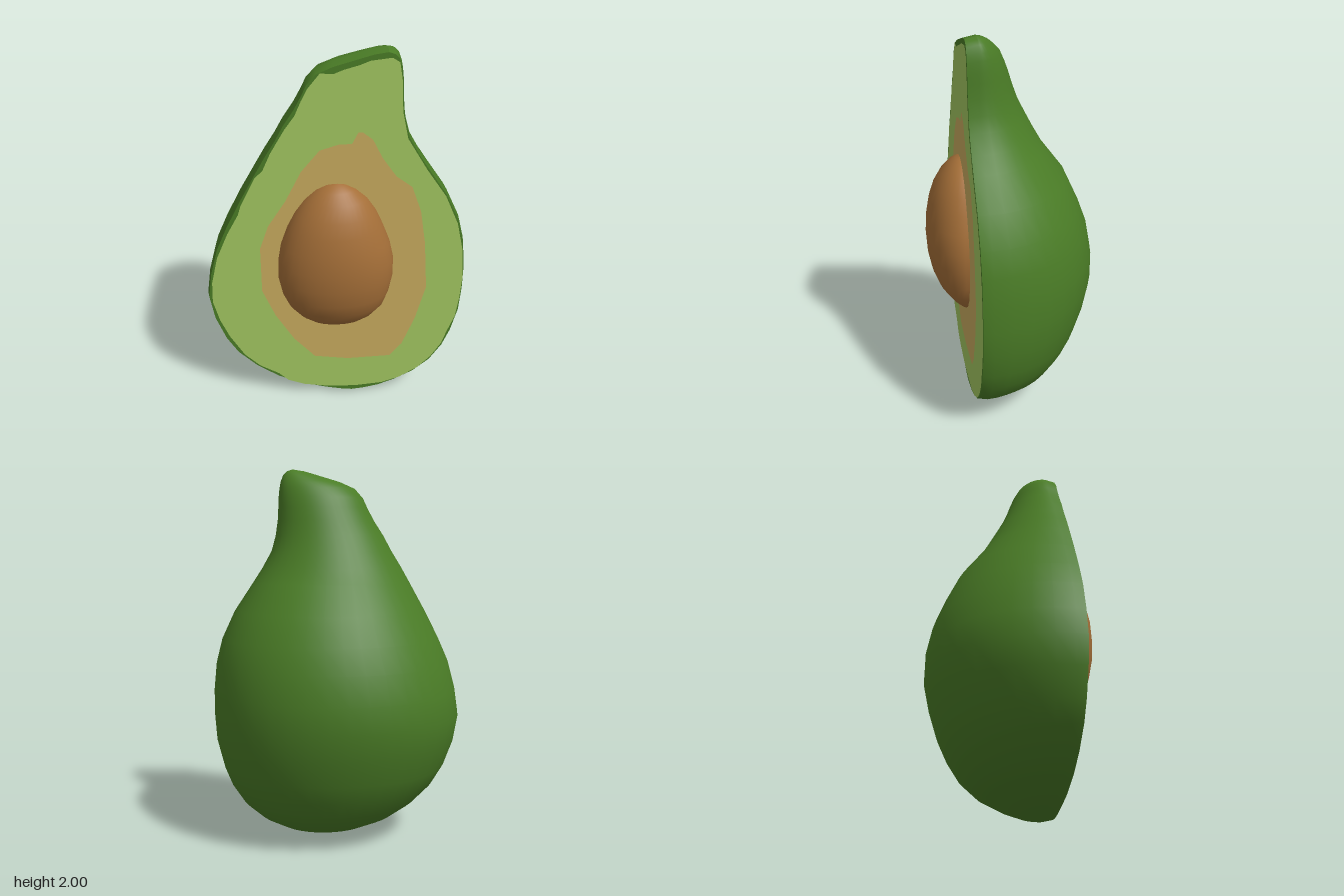
import * as THREE from 'three';

const mat = (name, color) => {
  const m = new THREE.MeshStandardMaterial({ color });
  m.name = name;
  return m;
};

// Skin sections: [y, left x, right x, back z]
const SKIN = [
  [2.0, 0.235, 0.235, 0.19], [1.99, 0.17, 0.265, 0.155], [1.97, 0.1, 0.285, 0.125],
  [1.935, -0.02, 0.298, 0.09], [1.9, -0.1, 0.305, 0.06], [1.85, -0.145, 0.31, 0.037],
  [1.8, -0.168, 0.312, 0.018], [1.73, -0.205, 0.316, -0.005], [1.65, -0.257, 0.328, -0.035],
  [1.57, -0.3, 0.35, -0.075], [1.48, -0.355, 0.4, -0.122], [1.4, -0.4, 0.452, -0.168],
  [1.25, -0.482, 0.552, -0.282], [1.1, -0.558, 0.622, -0.352], [0.97, -0.615, 0.655, -0.402],
  [0.82, -0.655, 0.67, -0.433], [0.68, -0.675, 0.67, -0.436], [0.54, -0.652, 0.66, -0.405],
  [0.4, -0.6, 0.625, -0.36], [0.3, -0.54, 0.585, -0.312], [0.2, -0.44, 0.52, -0.245],
  [0.12, -0.325, 0.43, -0.155], [0.06, -0.19, 0.32, -0.04], [0.025, -0.06, 0.23, 0.06],
  [0.008, 0.02, 0.15, 0.135], [0, 0.085, 0.085, 0.19],
];

// Stone sections: [y, left x, right x, front z]
const STONE = [
  [1.333, 0, 0, 0.235], [1.325, -0.055, 0.045, 0.27], [1.3, -0.105, 0.092, 0.308],
  [1.25, -0.16, 0.148, 0.35], [1.18, -0.21, 0.195, 0.388], [1.1, -0.25, 0.23, 0.413],
  [1.0, -0.285, 0.268, 0.431], [0.9, -0.302, 0.29, 0.436], [0.8, -0.305, 0.29, 0.43],
  [0.7, -0.285, 0.272, 0.41], [0.62, -0.25, 0.245, 0.378], [0.55, -0.192, 0.19, 0.33],
  [0.51, -0.135, 0.135, 0.295], [0.485, -0.075, 0.065, 0.26], [0.475, -0.02, -0.02, 0.235],
];

const FLESH = [
  [-0.08, 1.895], [-0.14, 1.82], [-0.17, 1.76], [-0.2, 1.69], [-0.25, 1.62], [-0.32, 1.5],
  [-0.36, 1.41], [-0.4, 1.37], [-0.475, 1.22], [-0.49, 1.17], [-0.55, 1.06], [-0.61, 0.92],
  [-0.645, 0.77], [-0.65, 0.65], [-0.62, 0.53], [-0.575, 0.42], [-0.5, 0.29], [-0.42, 0.21],
  [-0.32, 0.15], [-0.27, 0.1], [-0.18, 0.065], [-0.05, 0.045], [0.1, 0.04], [0.25, 0.055],
  [0.35, 0.09], [0.45, 0.155], [0.52, 0.23], [0.575, 0.32], [0.6, 0.4], [0.637, 0.5],
  [0.653, 0.62], [0.66, 0.75], [0.648, 0.92], [0.612, 1.08], [0.542, 1.24], [0.44, 1.39],
  [0.338, 1.56], [0.308, 1.7], [0.3, 1.85], [0.285, 1.94], [0.25, 1.962], [0.15, 1.95],
  [0.1, 1.93], [0.03, 1.91], [-0.02, 1.89],
];

const CORE = [
  [0.12, 1.6], [0.17, 1.56], [0.22, 1.46], [0.29, 1.36], [0.37, 1.3], [0.42, 1.16],
  [0.45, 0.97], [0.47, 0.7], [0.42, 0.5], [0.355, 0.33], [0.29, 0.25], [0.06, 0.24],
  [-0.12, 0.265], [-0.23, 0.39], [-0.325, 0.55], [-0.39, 0.71], [-0.39, 0.97],
  [-0.345, 1.1], [-0.255, 1.24], [-0.175, 1.4], [-0.085, 1.51], [0.01, 1.54],
  [0.07, 1.54], [0.1, 1.6],
];

const CUT_Z = 0.245;
// The cut edge is drawn in slightly from the widest outline
const rim = (x, y) => [0.02 + (x - 0.02) * 0.987, 1 + (y - 1) * 0.988];

// Half-elliptical arc of one section, running from left x to right x
function arc([y, x0, x1, z], zc, steps) {
  const pts = [];
  for (let j = 0; j <= steps; j++) {
    const a = (j / steps) * Math.PI;
    pts.push([(x0 + x1) / 2 - (Math.cos(a) * (x1 - x0)) / 2, y, zc + (z - zc) * Math.sin(a)]);
  }
  return pts;
}

// Smooth surface through rows of points; flip for rows that bulge forward
function loft(rows, flip) {
  const n = rows[0].length, index = [];
  for (let i = 0; i < rows.length - 1; i++) {
    for (let j = 0; j < n - 1; j++) {
      const a = i * n + j, b = a + 1, c = a + n, d = c + 1;
      if (flip) index.push(a, c, b, b, c, d);
      else index.push(a, b, c, b, d, c);
    }
  }
  const g = new THREE.BufferGeometry();
  g.setAttribute('position', new THREE.Float32BufferAttribute(rows.flat(2), 3));
  g.setIndex(index);
  g.computeVertexNormals();
  return g;
}

function flat(points, z) {
  const shape = new THREE.Shape(points.map(([x, y]) => new THREE.Vector2(x, y)));
  return new THREE.ShapeGeometry(shape).translate(0, 0, z);
}

export function createModel() {
  const group = new THREE.Group();
  const skin = mat('skin green', 0x4a7c26);
  const flesh = mat('flesh green', 0xa2c661);
  const core = mat('core tan', 0xc8ab5e);
  const stone = mat('stone brown', 0xa56f38);
  const add = (name, geometry, material) => {
    const mesh = new THREE.Mesh(geometry, material);
    mesh.name = name;
    group.add(mesh);
  };

  // Rounded skin, with a short turned-in edge at the cut
  const rows = SKIN.map((s) => [
    [...rim(s[1], s[0]), CUT_Z],
    ...arc(s, 0.19, 20),
    [...rim(s[2], s[0]), CUT_Z],
  ]);
  add('skin', loft(rows, false), skin);

  // Cut face: skin rim, flesh and the darker core
  const left = SKIN.map((s) => rim(s[1], s[0]));
  const right = SKIN.slice(1, -1).map((s) => rim(s[2], s[0])).reverse();
  add('skinRim', flat([...left, ...right], CUT_Z), skin);
  add('flesh', flat(FLESH, CUT_Z + 0.002), flesh);
  add('core', flat(CORE, CUT_Z + 0.004), core);

  // Stone bulging out of the cut face
  add('stone', loft(STONE.map((s) => arc(s, 0.235, 18)), true), stone);
  return group;
}
